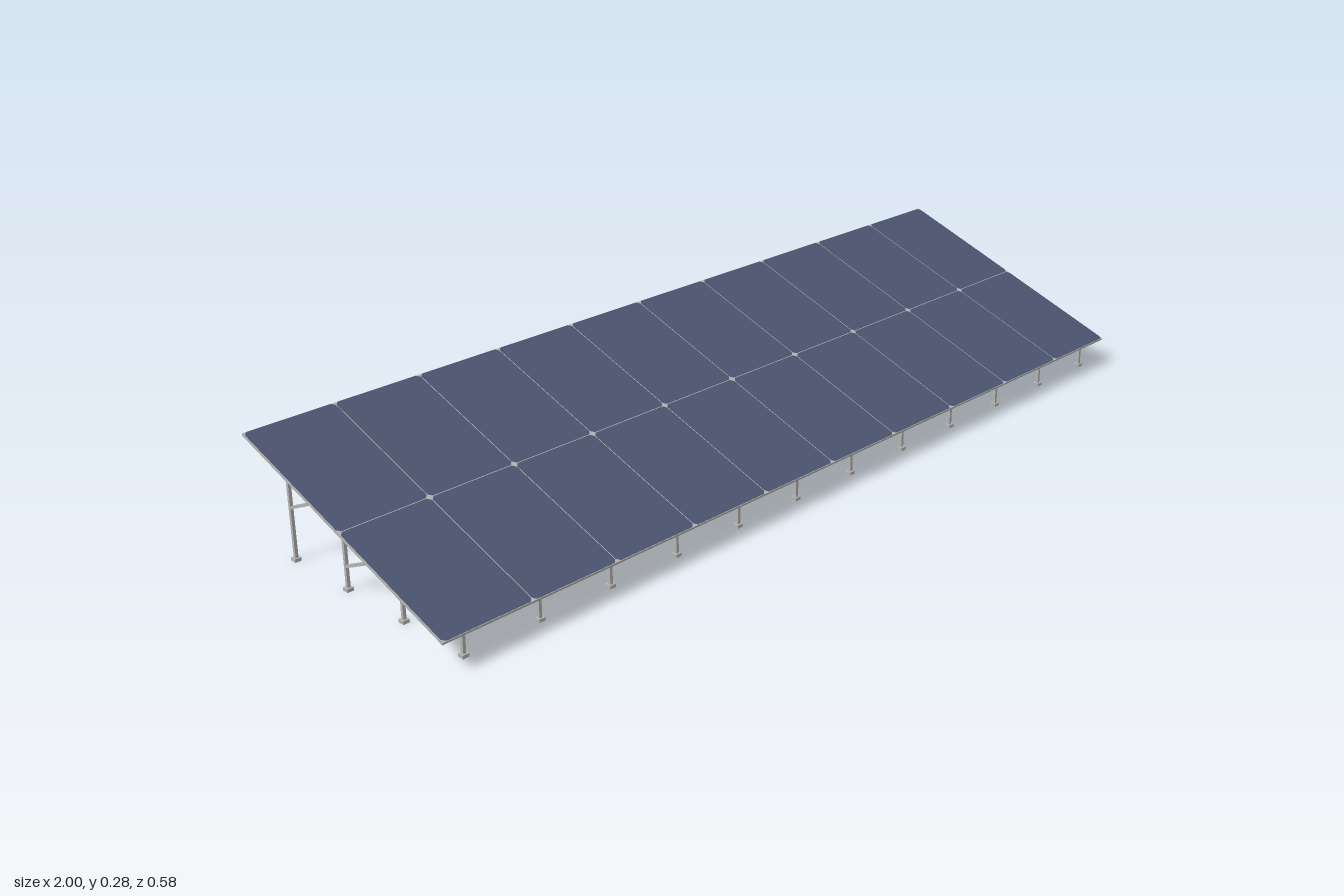
import * as THREE from 'three';

const TILT = THREE.MathUtils.degToRad(20);
const CENTRE_Y = 0.169;      // height of the panel plane's centre
const DEPTH = 0.611;         // table length along the slope
const PANEL_T = 0.0055;
const RAFTER_T = 0.0065;
const COLUMNS = 10;
const FRAMES = 12;

export function createModel() {
  const root = new THREE.Group();
  root.name = 'solarArray';

  const steel = new THREE.MeshStandardMaterial({ color: 0xb4b4b2 });
  steel.name = 'galvanised steel';
  const cell = new THREE.MeshStandardMaterial({ color: 0x4b5470 });
  cell.name = 'blue cells';

  const box = (parent, name, w, h, d, x, y, z, material = steel) => {
    const mesh = new THREE.Mesh(new THREE.BoxGeometry(w, h, d), material);
    mesh.name = name;
    mesh.position.set(x, y, z);
    parent.add(mesh);
    return mesh;
  };

  // Bar between two points in the y-z plane
  const bar = (parent, name, t, y0, z0, y1, z1) => {
    const mesh = box(parent, name, t, t, Math.hypot(y1 - y0, z1 - z0), 0, (y0 + y1) / 2, (z0 + z1) / 2);
    mesh.rotation.x = Math.atan2(-(y1 - y0), z1 - z0);
  };

  // Tilted table of panels, two rows deep
  const table = new THREE.Group();
  table.name = 'panelTable';
  table.position.y = CENTRE_Y;
  table.rotation.x = TILT;
  root.add(table);

  const pw = 2 / COLUMNS, pd = DEPTH / 2;

  // Cell face: thin rim left bare and corners cut off
  const a = pw / 2 - 0.0008, b = pd / 2 - 0.0008, c = 0.007;
  const outline = new THREE.Shape([
    [-a + c, -b], [a - c, -b], [a, -b + c], [a, b - c],
    [a - c, b], [-a + c, b], [-a, b - c], [-a, -b + c],
  ].map(([x, y]) => new THREE.Vector2(x, y)));
  const faceGeometry = new THREE.ShapeGeometry(outline).rotateX(-Math.PI / 2);

  for (let i = 0; i < COLUMNS; i++) {
    for (const row of [-1, 1]) {
      const panel = new THREE.Group();
      panel.name = 'panel';
      panel.position.set(-1 + pw * (i + 0.5), 0, row * pd / 2);
      box(panel, 'panelFrame', pw, PANEL_T, pd, 0, 0, 0);
      const face = new THREE.Mesh(faceGeometry, cell);
      face.name = 'cellFace';
      face.position.y = PANEL_T / 2 + 0.0006;
      panel.add(face);
      table.add(panel);
    }
  }

  // Support frames: rafter, four posts with feet, two braces
  const postZ = [0.256, 0.086, -0.084, -0.254];
  const underside = (z) => CENTRE_Y - z * Math.tan(TILT) - (PANEL_T / 2 + RAFTER_T / 2) / Math.cos(TILT);

  for (let i = 0; i < FRAMES; i++) {
    const frame = new THREE.Group();
    frame.name = 'supportFrame';
    frame.position.x = -0.935 + i * 0.1715;
    root.add(frame);

    bar(frame, 'rafter', RAFTER_T, underside(0.277), 0.277, underside(-0.277), -0.277);
    for (const z of postZ) {
      const top = underside(z);
      box(frame, 'post', 0.0065, top, 0.0065, 0, top / 2, z);
      box(frame, 'foot', 0.014, 0.007, 0.014, 0, 0.0035, z);
    }
    for (const k of [1, 2]) {
      const y = underside(postZ[k]) - 0.004;
      bar(frame, 'brace', 0.006, y, postZ[k], y - 0.077, postZ[k + 1]);
    }
  }
  return root;
}
